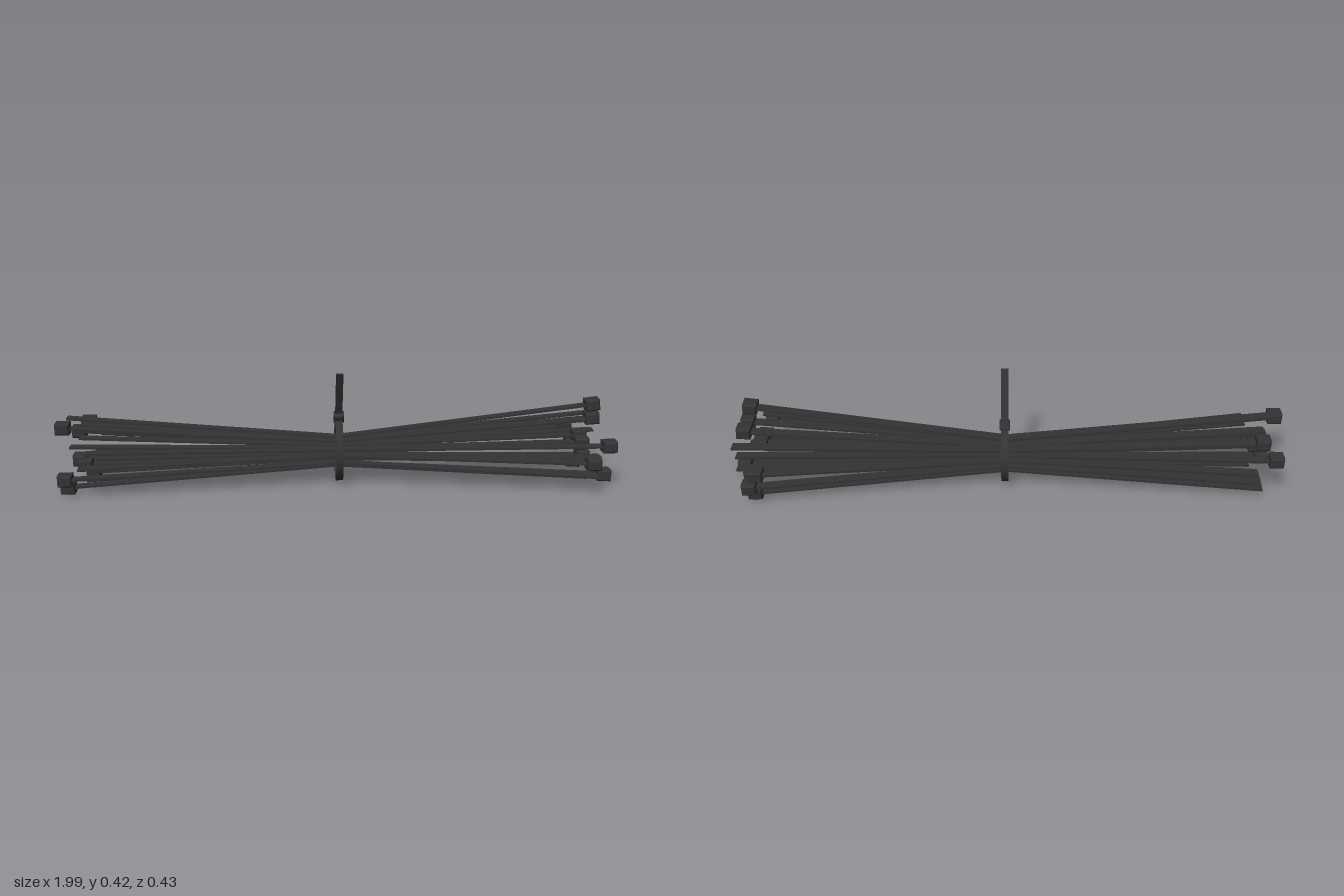
import * as THREE from 'three';

export function createModel() {
  const model = new THREE.Group();
  model.name = 'cableTieBundle';
  const nylon = new THREE.MeshStandardMaterial({ color: 0x333333 });
  nylon.name = 'black nylon';
  const add = (geo, name, parent) => {
    const mesh = new THREE.Mesh(geo, nylon);
    mesh.name = name;
    parent.add(mesh);
    return mesh;
  };

  // Locking head: a block with chamfered edges
  function headGeometry(w, h, d, bevel = 0.005) {
    const a = w / 2 - bevel, b = h / 2 - bevel;
    const shape = new THREE.Shape([
      new THREE.Vector2(-a, -b), new THREE.Vector2(a, -b),
      new THREE.Vector2(a, b), new THREE.Vector2(-a, b)]);
    const geo = new THREE.ExtrudeGeometry(shape, {
      depth: d - 2 * bevel, bevelEnabled: true, bevelSegments: 1,
      bevelSize: bevel, bevelThickness: bevel });
    return geo.translate(0, 0, bevel - d / 2);
  }
  const tieHead = headGeometry(0.05, 0.041, 0.053);

  // Flat strap bent at the waist of the bundle
  function strapGeometry(points) {
    const geo = new THREE.BoxGeometry(2, 0.007, 0.036, 2, 1, 1);
    const pos = geo.attributes.position;
    for (let i = 0; i < pos.count; i++) {
      const p = points[Math.round(pos.getX(i) + 1)];
      pos.setXYZ(i, p[0], pos.getY(i) + p[1], pos.getZ(i) + p[2]);
    }
    geo.computeVertexNormals();
    return geo;
  }

  // Each tie: head position, then tail position
  const ties = [
    [[0.915, 0.288, 0.017], [-0.96, 0.257, 0.01]],
    [[0.935, 0.22, -0.04], [-0.92, 0.22, -0.03]],
    [[0.88, 0.15, 0.037], [-0.95, 0.16, 0.045]],
    [[0.885, 0.16, -0.023], [-0.93, 0.17, -0.03]],
    [[0.885, 0.122, 0.19], [-0.9, 0.12, 0.17]],
    [[0.875, 0.14, -0.19], [-0.88, 0.14, -0.18]],
    [[0.905, 0.08, -0.185], [-0.9, 0.085, -0.16]],
    [[0.92, 0.062, -0.082], [-0.9, 0.06, -0.08]],
    [[0.97, 0.026, 0.035], [-0.9, 0.03, 0.03]],
    [[0.9, 0.023, -0.135], [-0.92, 0.03, -0.12]],
    [[0.96, 0.16, 0.115], [-0.88, 0.167, 0.14]],
    [[-0.97, 0.23, 0.045], [0.88, 0.24, 0.052]],
    [[-0.905, 0.21, -0.095], [0.96, 0.215, -0.13]],
    [[-0.95, 0.163, -0.135], [0.96, 0.155, -0.1]],
    [[-0.96, 0.06, 0.11], [0.93, 0.045, 0.115]],
    [[-0.915, 0.113, 0.04], [0.95, 0.1, 0.06]],
    [[-0.892, 0.105, 0.075], [0.92, 0.1, 0.085]],
    [[-0.955, 0.026, 0.09], [0.9, 0.03, 0.07]],
    [[-0.895, 0.025, -0.075], [0.98, 0.065, -0.05]],
  ];
  ties.forEach(([head, tail]) => {
    const tie = new THREE.Group();
    tie.name = 'cableTie';
    // Pull the middle of the strap in towards the bundle's axis
    const dy = (head[1] + tail[1]) / 2 - 0.115;
    const dz = (head[2] + tail[2]) / 2 + 0.02;
    const waist = [0, 0.115 + dy * (dy > 0 ? 0.35 : 0.5), -0.02 + dz * 0.35];
    const points = head[0] < 0 ? [head, waist, tail] : [tail, waist, head];
    add(strapGeometry(points), 'strap', tie);
    const block = add(tieHead, 'head', tie);
    block.position.set(...head);
    block.rotation.z = Math.atan2(head[1] - waist[1], head[0]) % Math.PI * (head[0] > 0 ? 1 : 0);
    model.add(tie);
  });

  // Tie wrapped round the middle: loop, head and loose end
  const binder = new THREE.Group();
  binder.name = 'bindingTie';
  const ring = new THREE.Shape().absellipse(0, 0, 0.107, 0.11, 0, Math.PI * 2);
  ring.holes.push(new THREE.Path().absellipse(0, 0, 0.1, 0.103, 0, Math.PI * 2, true));
  const loopGeo = new THREE.ExtrudeGeometry(ring, { depth: 0.026, bevelEnabled: false, curveSegments: 24 });
  loopGeo.translate(0, 0, -0.013).rotateY(Math.PI / 2);
  add(loopGeo, 'loop', binder).position.set(0.005, 0.115, -0.013);

  const end = new THREE.Group();
  end.name = 'looseEnd';
  end.position.set(0.005, 0.238, -0.027);
  end.rotation.x = Math.atan2(0.085, 0.175);
  add(headGeometry(0.038, 0.036, 0.034), 'bindingHead', end);
  add(new THREE.BoxGeometry(0.026, 0.215, 0.007), 'bindingTail', end).position.y = 0.095;
  binder.add(end);
  model.add(binder);

  return model;
}
